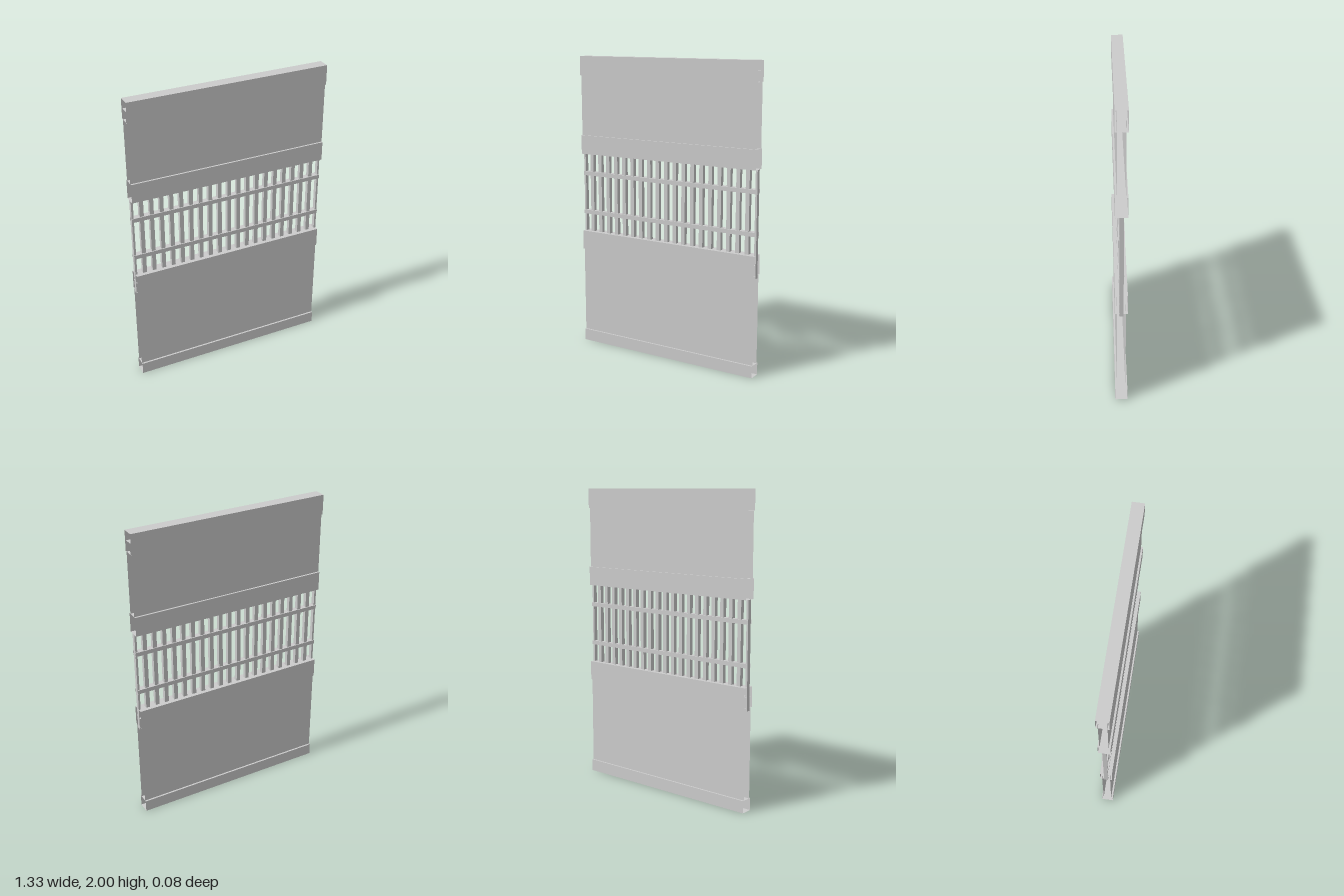
import * as THREE from 'three';

const WIDTH = 1.333;
const material = new THREE.MeshStandardMaterial({ color: 0xcccccc, side: THREE.DoubleSide });

// Full-width hollow profile between two heights, open at both x ends
function profile(name, y0, y1, depth) {
  const geometry = new THREE.BoxGeometry(WIDTH, y1 - y0, depth);
  geometry.setIndex(Array.from(geometry.index.array).slice(12)); // drop the +x and -x faces
  geometry.clearGroups();
  const mesh = new THREE.Mesh(geometry, material);
  mesh.name = name;
  mesh.position.y = (y0 + y1) / 2;
  return mesh;
}

export function createModel() {
  const model = new THREE.Group();
  model.name = 'fencePanel';

  // Horizontal beams
  const beamDepth = 0.078;
  model.add(
    profile('bottomBeam', 0, 0.08, beamDepth),
    profile('lowerMiddleBeam', 0.67, 0.8, beamDepth),
    profile('upperMiddleBeam', 1.34, 1.467, beamDepth),
    profile('topBeam', 1.87, 2, beamDepth),
  );

  // Solid panels, their upper edges set inside the beams
  model.add(
    profile('lowerPanel', 0.08, 0.74, 0.054),
    profile('upperPanel', 1.467, 1.94, 0.054),
  );

  // Thin rails crossing the bars
  model.add(
    profile('lowerRail', 0.92, 0.947, 0.04),
    profile('upperRail', 1.19, 1.217, 0.04),
  );

  // Square bars, halved at the two ends
  const bars = new THREE.Group();
  bars.name = 'bars';
  const barWidth = 0.0267, count = 20, y0 = 0.65, y1 = 1.34;
  for (let i = 0; i <= count; i++) {
    const x = (i / count - 0.5) * WIDTH;
    const left = Math.max(x - barWidth / 2, -WIDTH / 2);
    const right = Math.min(x + barWidth / 2, WIDTH / 2);
    const bar = new THREE.Mesh(new THREE.BoxGeometry(right - left, y1 - y0, barWidth), material);
    bar.name = 'bar';
    bar.position.set((left + right) / 2, (y0 + y1) / 2, 0);
    bars.add(bar);
  }
  model.add(bars);
  return model;
}
